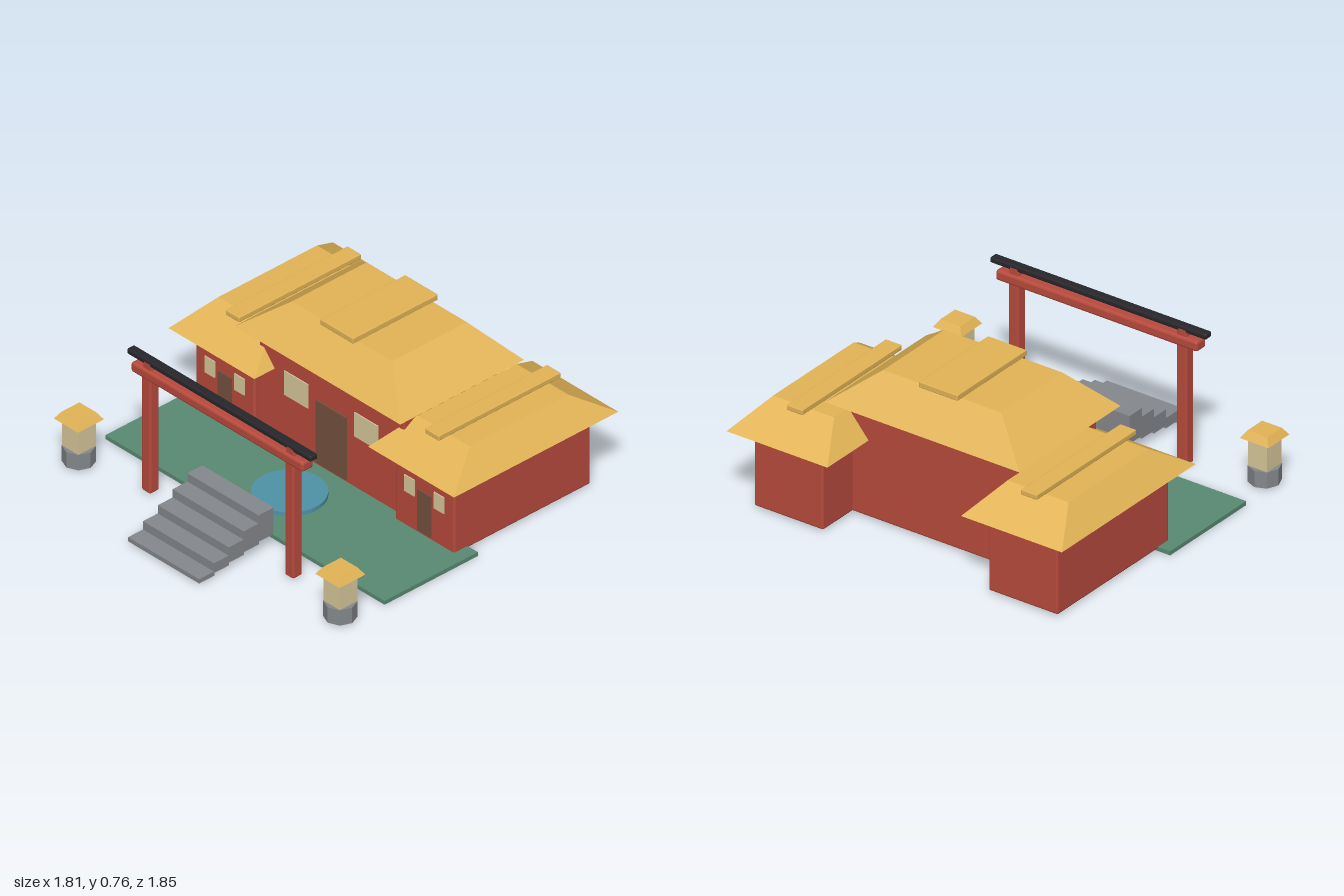
import * as THREE from 'three';
import { RoundedBoxGeometry } from 'three/addons/geometries/RoundedBoxGeometry.js';

const mat = (color) => new THREE.MeshStandardMaterial({ color, flatShading: true });
const M = {
  wall: mat(0xb94b3d), roof: mat(0xe3b456), stone: mat(0x85888c), grass: mat(0x5a8a72),
  water: mat(0x4f93a8), window: mat(0xd9c99c), door: mat(0x75523f), dark: mat(0x27262b),
};

function add(parent, name, geometry, material, x = 0, y = 0, z = 0) {
  const mesh = new THREE.Mesh(geometry, material);
  mesh.name = name;
  mesh.position.set(x, y, z);
  parent.add(mesh);
  return mesh;
}

// Block given by its extents; a bevel chamfers its edges
function block(parent, name, material, [x0, x1], [y0, y1], [z0, z1], bevel = 0) {
  const w = x1 - x0, h = y1 - y0, d = z1 - z0;
  const geo = bevel ? new RoundedBoxGeometry(w, h, d, 1, bevel) : new THREE.BoxGeometry(w, h, d);
  return add(parent, name, geo, material, (x0 + x1) / 2, (y0 + y1) / 2, (z0 + z1) / 2);
}

// Hipped roof: a box whose top face is drawn in
function hipRoof(parent, name, x, z, [y0, y1], [w, d], [topW, topD]) {
  const geo = new THREE.BoxGeometry(w, y1 - y0, d);
  const p = geo.attributes.position;
  for (let i = 0; i < p.count; i++) {
    if (p.getY(i) > 0) p.setXYZ(i, p.getX(i) * topW / w, p.getY(i), p.getZ(i) * topD / d);
  }
  geo.computeVertexNormals();
  return add(parent, name, geo, M.roof, x, (y0 + y1) / 2, z);
}

const around = (c, half) => [c - half, c + half];

function makeHall() {
  const hall = new THREE.Group();
  hall.name = 'mainHall';
  block(hall, 'hallWalls', M.wall, [-0.46, 0.46], [0.01, 0.575], [-0.555, 0], 0.008);
  hipRoof(hall, 'hallRoof', 0, -0.283, [0.567, 0.73], [1.05, 0.736], [0.636, 0.444]);
  block(hall, 'hallRidge', M.roof, [-0.104, 0.104], [0.728, 0.757], [-0.535, -0.03], 0.004);
  block(hall, 'hallDoor', M.door, [-0.096, 0.096], [0.03, 0.355], [-0.005, 0.006]);
  for (const s of [-1, 1]) {
    block(hall, 'hallWindow', M.window, around(s * 0.222, 0.075), [0.285, 0.41], [-0.005, 0.005]);
  }
  return hall;
}

function makeWing(s) {
  const wing = new THREE.Group();
  wing.name = s > 0 ? 'leftWing' : 'rightWing';
  const x = s * 0.632;
  block(wing, 'wingWalls', M.wall, around(x, 0.186), [0.01, 0.395], [-0.77, 0.04], 0.008);
  hipRoof(wing, 'wingRoof', x, -0.367, [0.388, 0.514], [0.544, 0.976], [0.328, 0.586]);
  block(wing, 'wingRidge', M.roof, around(x, 0.043), [0.513, 0.539], [-0.728, -0.003], 0.004);
  block(wing, 'wingDoor', M.door, around(x, 0.043), [0.03, 0.245], [0.035, 0.046]);
  for (const t of [-1, 1]) {
    block(wing, 'wingWindow', M.window, around(x + t * 0.094, 0.032), [0.195, 0.28], [0.035, 0.045]);
  }
  return wing;
}

function makeGate() {
  const gate = new THREE.Group();
  gate.name = 'gate';
  for (const s of [-1, 1]) {
    block(gate, 'gatePost', M.wall, around(s * 0.453, 0.027), [0.01, 0.605], around(0.652, 0.027), 0.007);
    block(gate, 'beamBlock', M.wall, around(s * 0.453, 0.025), [0.64, 0.685], around(0.65, 0.022), 0.006);
  }
  block(gate, 'gateBeam', M.wall, [-0.543, 0.543], [0.598, 0.647], around(0.65, 0.034), 0.01);
  block(gate, 'gateTopBeam', M.dark, [-0.582, 0.582], [0.666, 0.693], around(0.65, 0.022), 0.007);
  return gate;
}

function makeStairs() {
  const stairs = new THREE.Group();
  stairs.name = 'stairs';
  for (let i = 0; i < 5; i++) {
    const front = 0.998 - i * 0.088;
    block(stairs, 'step', M.stone, [-0.225, 0.225], [0.01 + i * 0.014, 0.032 + i * 0.043], [front - 0.09, front]);
  }
  return stairs;
}

function makeLantern(s) {
  const lantern = new THREE.Group();
  lantern.name = s > 0 ? 'leftLantern' : 'rightLantern';
  const x = s * 0.828, z = 0.725;
  add(lantern, 'lanternBase', new THREE.CylinderGeometry(0.075, 0.075, 0.08, 8), M.stone, x, 0.05, z);
  block(lantern, 'lanternBody', M.window, around(x, 0.052), [0.088, 0.235], around(z, 0.052));
  hipRoof(lantern, 'lanternRoof', x, z, [0.229, 0.265], [0.154, 0.154], [0.106, 0.106]);
  return lantern;
}

export function createModel() {
  const model = new THREE.Group();
  model.name = 'courtyardHouse';
  block(model, 'lawn', M.grass, [-0.884, 0.884], [0, 0.02], [-0.04, 0.515]);
  add(model, 'pond', new THREE.CylinderGeometry(0.168, 0.168, 0.028, 48), M.water, 0, 0.026, 0.25);
  model.add(makeHall(), makeGate(), makeStairs());
  for (const s of [-1, 1]) model.add(makeWing(s), makeLantern(s));
  return model;
}
